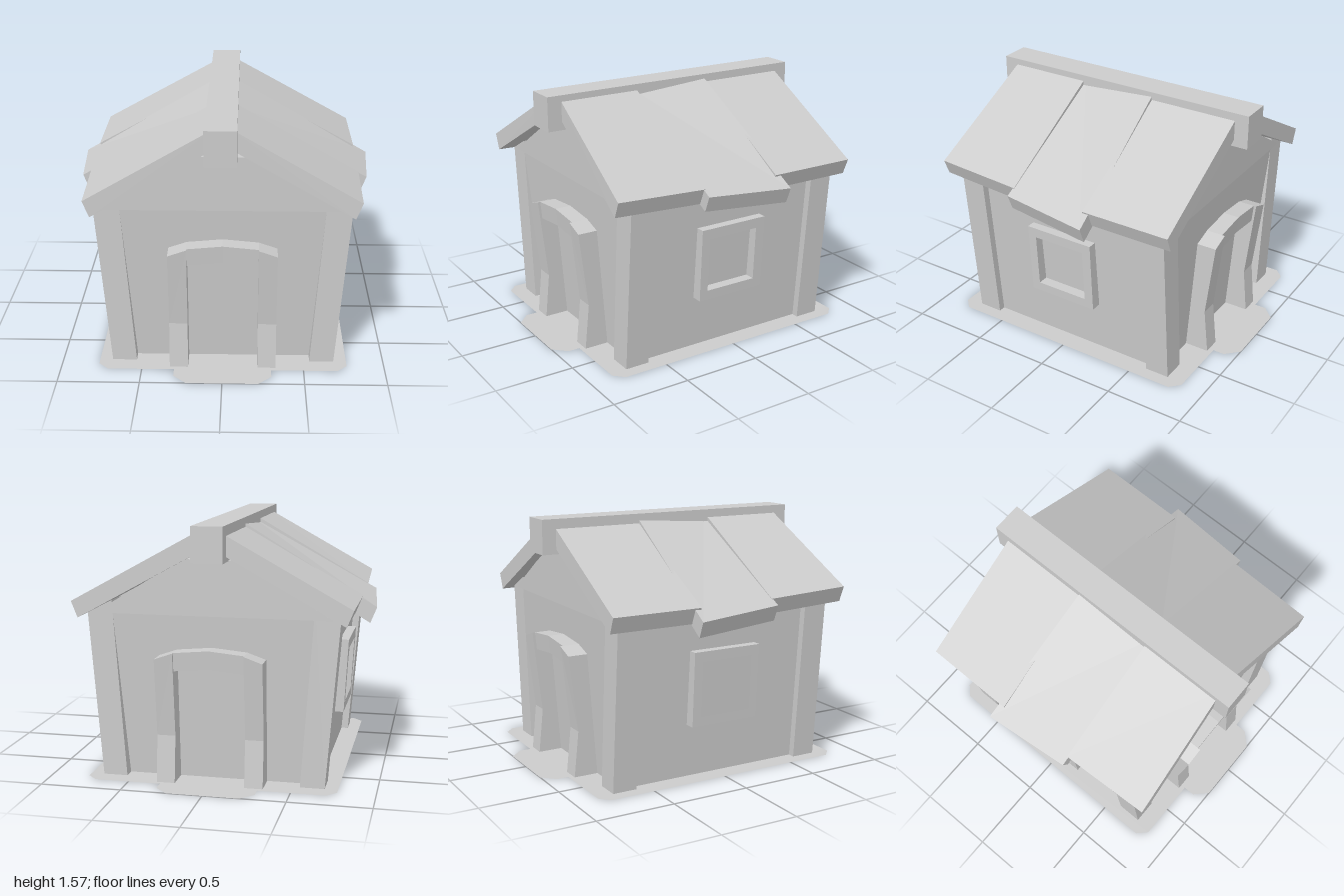
import * as THREE from 'three';

const material = new THREE.MeshStandardMaterial({ color: 0xcccccc, flatShading: true });
const sheet = new THREE.MeshStandardMaterial({ color: 0xcccccc, flatShading: true, side: THREE.DoubleSide });

// Closed solid through a list of rings with equal point counts; sx and sz mirror it.
function loft(rings, sx = 1, sz = 1) {
  const n = rings[0].length;
  const pts = rings.flat().map(([x, y, z]) => new THREE.Vector3(x * sx, y, z * sz));
  const tris = [];
  for (let r = 0; r < rings.length - 1; r++) {
    for (let i = 0; i < n; i++) {
      const a = r * n + i, b = r * n + (i + 1) % n;
      tris.push([a, b, b + n], [a, b + n, a + n]);
    }
  }
  const last = (rings.length - 1) * n;
  for (let i = 1; i < n - 1; i++) tris.push([0, i + 1, i], [last, last + i, last + i + 1]);
  // A negative volume means the faces point inwards
  const cross = new THREE.Vector3();
  const volume = tris.reduce((v, [a, b, c]) => v + pts[a].dot(cross.crossVectors(pts[b], pts[c])), 0);
  const pos = [];
  for (const [a, b, c] of tris) {
    for (const i of volume < 0 ? [a, c, b] : [a, b, c]) pos.push(...pts[i].toArray());
  }
  const g = new THREE.BufferGeometry();
  g.setAttribute('position', new THREE.Float32BufferAttribute(pos, 3));
  g.computeVertexNormals();
  return g;
}

// Rectangle ring centred on the y axis
const rect = (x, y, z) => [[-x, y, z], [x, y, z], [x, y, -z], [-x, y, -z]];

// Roof panel cross-section at the ridge side and the eave: [x, y, z] of the top edges
function panelRing(ridge, eave) {
  const inner = 0.04;
  const slope = (ridge[1] - eave[1]) / (eave[0] - ridge[0]);
  const top = [ridge[0] - inner, ridge[1] + inner * slope, ridge[2]];
  const under = ([x, y, z]) => [x - 0.04, y - 0.1, z];
  return [top, eave, under(eave), [top[0], top[1] - 0.123, top[2]]];
}

export function createModel() {
  const house = new THREE.Group();
  const add = (name, geometry, mat = material) => {
    const mesh = new THREE.Mesh(geometry, mat);
    mesh.name = name;
    house.add(mesh);
  };

  // Thin ground plate with a doorstep at each end
  const quarter = [[0.77, 0.785], [0.71, 0.845], [0.3, 0.845], [0.3, 0.92], [0.22, 1]];
  const back = [...quarter].reverse();
  const outline = [
    ...quarter,
    ...back.map(([x, z]) => [-x, z]),
    ...quarter.map(([x, z]) => [-x, -z]),
    ...back.map(([x, z]) => [x, -z]),
  ].map(([x, z]) => new THREE.Vector2(x, z));
  add('groundPlate', new THREE.ShapeGeometry(new THREE.Shape(outline)).rotateX(-Math.PI / 2), sheet);

  // Walls flare outwards, then close to the gables
  add('walls', loft([rect(0.645, 0, 0.66), rect(0.725, 1.02, 0.735), rect(0.175, 1.36, 0.74)]));

  // Ridge beam, slightly off centre
  add('ridgeBeam', new THREE.BoxGeometry(0.19, 0.215, 1.79).translate(-0.01, 1.4625, 0));

  const panels = {
    frontRoofPanel: [[[0.085, 1.53, 0.8], [0.815, 1.12, 0.845]], [[0.085, 1.53, 0.275], [0.838, 1.1, 0.275]]],
    middleRoofPanel: [[[0.085, 1.505, 0.28], [0.89, 1.068, 0.285]], [[0.085, 1.54, -0.23], [0.94, 1.033, -0.275]]],
    backRoofPanel: [[[0.085, 1.52, -0.235], [0.85, 1.098, -0.23]], [[0.085, 1.52, -0.805], [0.85, 1.098, -0.805]]],
  };

  for (const s of [1, -1]) {
    // Roof panels, each side
    for (const [name, ends] of Object.entries(panels)) {
      add(name, loft(ends.map(([ridge, eave]) => panelRing(ridge, eave)), s));
    }

    // Window frame, leaning with the wall
    const box = (a, b, c, d) => [[a, c], [b, c], [b, d], [a, d]].map(([z, y]) => new THREE.Vector2(-s * z, y));
    const frame = new THREE.Shape(box(0.24, -0.22, 0.34, 0.81));
    frame.holes.push(new THREE.Path(box(0.185, -0.16, 0.4, 0.745)));
    const window = new THREE.ExtrudeGeometry(frame, { depth: 0.1, bevelEnabled: false });
    window.translate(0, 0, 0.64).rotateY(s * Math.PI / 2);
    const p = window.attributes.position;
    for (let i = 0; i < p.count; i++) p.setX(i, p.getX(i) + s * 0.053 * (p.getY(i) - 0.34));
    window.computeVertexNormals();
    add('windowFrame', window);

    // Door lintel, a shallow arch on both ends of the house
    const lintel = [-0.215, 0, 0.215].map((x) => {
      const rise = x === 0 ? 0.02 : 0;
      return [[x, 0.81 + rise, 0.825], [x, 0.697 + rise, 0.815], [x, 0.697 + rise, 0.66], [x, 0.81 + rise, 0.66]];
    });
    add('doorLintel', loft(lintel, 1, s));

    for (const sx of [1, -1]) {
      // Corner posts lean outwards, tops cut to the roof slope
      add('cornerPost', loft([
        [[0.54, 0, 0.58], [0.69, 0, 0.58], [0.69, 0, 0.735], [0.54, 0, 0.735]],
        [[0.618, 1.1, 0.58], [0.77, 1.02, 0.58], [0.77, 1.02, 0.735], [0.618, 1.1, 0.735]],
      ], sx, s));

      // Door jambs, kinked inwards near the ground
      const jamb = (outerY, innerY, z) => [[0.215, innerY, 0.63], [0.328, outerY, 0.63], [0.328, outerY, z], [0.215, innerY, z]];
      add('doorJamb', loft([jamb(0, 0, 0.815), jamb(0.29, 0.29, 0.785), jamb(0.77, 0.81, 0.842)], sx, s));
    }
  }
  return house;
}
